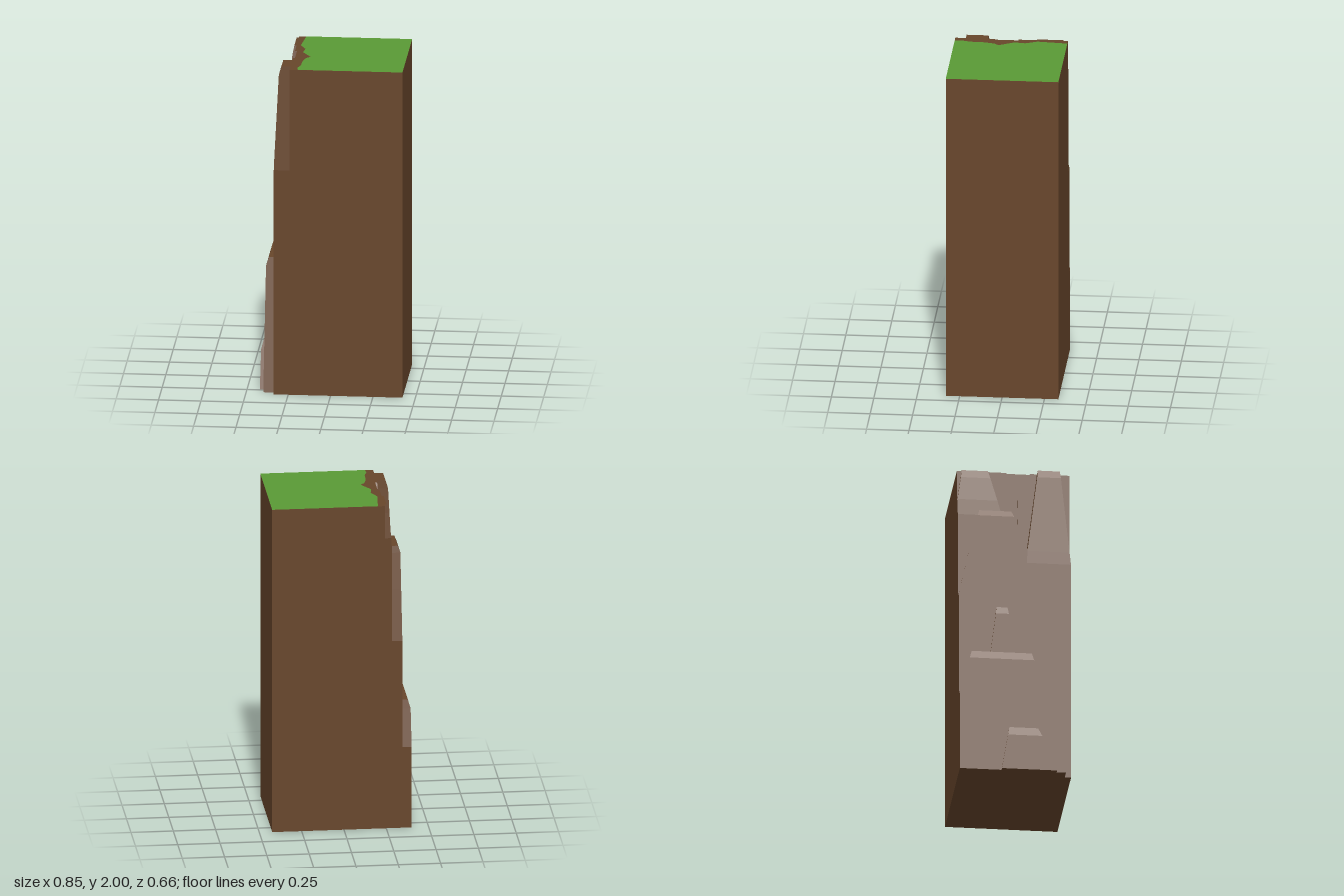
import * as THREE from 'three';

const rock = new THREE.MeshStandardMaterial({ color: 0x68462b, flatShading: true });
const grass = new THREE.MeshStandardMaterial({ color: 0x5a9a35, flatShading: true });
const BACK = -0.2;

// Slab of rock lofted from level rows [y, x of the face, z start, z end]
function slab(name, rows, back = BACK) {
  const rings = rows.map(([y, x, z0, z1]) => [[x, y, z0], [x, y, z1], [back, y, z1], [back, y, z0]]);
  const pos = [];
  const quad = (a, b, c, d) => pos.push(...a, ...b, ...c, ...a, ...c, ...d);
  for (let i = 0; i < rings.length - 1; i++) {
    for (let k = 0; k < 4; k++) {
      const n = (k + 1) % 4;
      quad(rings[i][k], rings[i][n], rings[i + 1][n], rings[i + 1][k]);
    }
  }
  const top = rings[rings.length - 1];
  const low = rings[0];
  quad(top[0], top[1], top[2], top[3]);
  quad(low[3], low[2], low[1], low[0]);
  const geo = new THREE.BufferGeometry();
  geo.setAttribute('position', new THREE.Float32BufferAttribute(pos, 3));
  geo.computeVertexNormals();
  const mesh = new THREE.Mesh(geo, rock);
  mesh.name = name;
  return mesh;
}

export function createModel() {
  const group = new THREE.Group();
  group.name = 'cliffBlock';

  // Solid body behind the rock face
  group.add(slab('cliffBody', [[0, -0.23, -0.332, 0.332], [2, -0.23, -0.332, 0.332]], 0.424));

  // Back wall of the recess, split by a shallow notch at the rim
  group.add(slab('recessWallBack', [[0, -0.242, -0.332, 0], [1.9, -0.242, -0.332, -0.015], [2, -0.242, -0.332, -0.04]]));
  group.add(slab('recessWallFront', [[0, -0.242, -0.015, 0.332], [1.9, -0.242, 0.03, 0.332], [2, -0.242, 0.1, 0.332]]));

  // Stepped slabs, from the rim down to the foot
  group.add(slab('upperBackSlab', [
    [0.9, -0.285, -0.332, -0.07], [1.7, -0.285, -0.332, -0.07], [1.8, -0.28, -0.332, -0.097],
    [1.95, -0.265, -0.311, -0.137], [2, -0.255, -0.305, -0.15],
  ]));
  group.add(slab('frontSlab', [
    [0, -0.335, 0, 0.332], [1.38, -0.335, 0.05, 0.332], [1.46, -0.332, 0.075, 0.324],
    [1.95, -0.31, 0.135, 0.275], [2, -0.295, 0.14, 0.27],
  ]));
  group.add(slab('middleSlab', [
    [0, -0.345, -0.332, 0.03], [1.16, -0.345, -0.332, 0.055], [1.46, -0.345, -0.267, 0.075],
    [1.67, -0.345, -0.22, -0.005], [1.71, -0.33, -0.21, -0.02],
  ]));
  group.add(slab('smallSlab', [
    [0.7, -0.365, -0.155, 0.015], [1.03, -0.365, -0.115, -0.038], [1.075, -0.355, -0.11, -0.045],
  ]));
  group.add(slab('lowerSlab', [
    [0, -0.4, -0.332, 0.295], [0.5, -0.4, -0.332, 0.165], [0.72, -0.4, -0.273, 0.108], [0.77, -0.385, -0.26, 0.095],
  ]));
  group.add(slab('footSlab', [
    [0, -0.425, -0.085, 0.24], [0.22, -0.425, -0.049, 0.153], [0.275, -0.41, -0.04, 0.13],
  ]));

  // Grass on top, with a ragged edge along the rim
  const edge = [
    [-0.2, -0.332], [-0.217, -0.155], [-0.184, -0.085], [-0.193, -0.02], [-0.14, 0.07],
    [-0.165, 0.095], [-0.18, 0.155], [-0.183, 0.24], [-0.198, 0.29], [-0.193, 0.332],
  ];
  const outline = [...edge, [0.424, 0.332], [0.424, -0.332]].map(([x, z]) => new THREE.Vector2(x, -z));
  const top = new THREE.Mesh(new THREE.ShapeGeometry(new THREE.Shape(outline)).rotateX(-Math.PI / 2), grass);
  top.position.y = 2.001;
  top.name = 'grassTop';
  group.add(top);

  return group;
}
